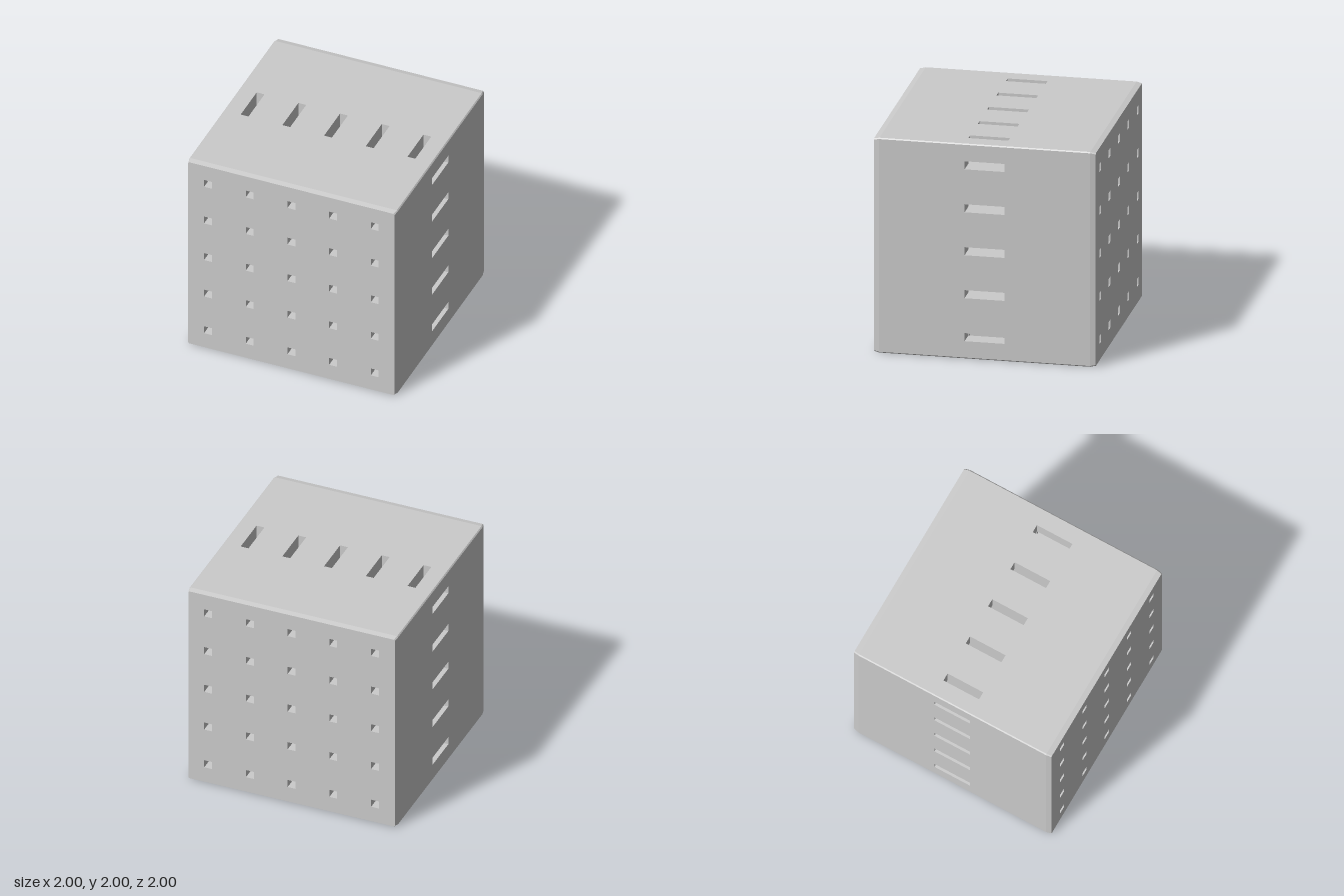
import * as THREE from 'three';

const ROWS = [-0.8, -0.4, 0, 0.4, 0.8]; // hole centres along each axis
const H = 0.0375;                       // half width of holes and slots
const SLOT = 0.18;                      // half length of the side slots
const BEVEL_Z = 0.95;                   // where the end faces start to taper
const C = 0.01;                         // small chamfer of the long edges

const toShape = (pts) => new THREE.Shape(pts.map(([x, y]) => new THREE.Vector2(x, y)));

function addHoles(shape, rows) {
  for (const x of rows) for (const y of rows) {
    shape.holes.push(new THREE.Path([
      [x - H, y - H], [x - H, y + H], [x + H, y + H], [x + H, y - H],
    ].map(([a, b]) => new THREE.Vector2(a, b))));
  }
  return shape;
}

// full square section with all 25 holes
function fullSection() {
  const e = 1 - C;
  return addHoles(toShape([
    [-e, -1], [e, -1], [1, -e], [1, e], [e, 1], [-e, 1], [-1, e], [-1, -e],
  ]), ROWS);
}

// middle section: slots run in from every side to the outermost holes
function slottedSections() {
  const inner = 0.8 - H, outer = 0.8 + H;
  const pts = [];
  for (let side = 0; side < 4; side++) {
    const c = [1, 0, -1, 0][side], s = [0, 1, 0, -1][side];
    const turn = (x, y) => pts.push([x * c - y * s, x * s + y * c]);
    for (let i = 0; i < 4; i++) {
      const a = ROWS[i] + H, b = ROWS[i + 1] - H;
      if (i > 0) turn(inner, a);
      turn(1, a);
      turn(1, b);
      turn(inner, b);
    }
  }
  const core = addHoles(toShape(pts), ROWS.slice(1, 4));
  const corners = [[1, 1], [-1, 1], [-1, -1], [1, -1]].map(([sx, sy]) => {
    const p = [[outer, outer], [1, outer], [1, 1 - C], [1 - C, 1], [outer, 1]]
      .map(([x, y]) => [x * sx, y * sy]);
    return toShape(p);
  });
  return [core, ...corners];
}

function extrude(shapes, z0, z1) {
  const g = new THREE.ExtrudeGeometry(shapes, { depth: z1 - z0, bevelEnabled: false });
  return g.translate(0, 0, z0);
}

// thin end slab whose outer edge narrows towards the face
function endSlab(sign) {
  const g = extrude(fullSection(), sign > 0 ? BEVEL_Z : -1, sign > 0 ? 1 : -BEVEL_Z);
  const p = g.attributes.position;
  for (let i = 0; i < p.count; i++) {
    const x = p.getX(i), y = p.getY(i);
    if (Math.max(Math.abs(x), Math.abs(y)) > 0.95 && Math.abs(p.getZ(i)) > 0.99) {
      p.setXY(i, x * 0.99, y * 0.99);
    }
  }
  g.computeVertexNormals();
  return g;
}

export function createModel() {
  const group = new THREE.Group();
  group.name = 'perforatedCube';
  const material = new THREE.MeshStandardMaterial({ color: 0xcccccc, flatShading: true });
  const add = (name, geometry) => {
    const mesh = new THREE.Mesh(geometry, material);
    mesh.name = name;
    mesh.position.y = 1;
    group.add(mesh);
  };

  add('slottedMiddle', extrude(slottedSections(), -SLOT, SLOT));
  add('frontBlock', extrude(fullSection(), SLOT, BEVEL_Z));
  add('backBlock', extrude(fullSection(), -BEVEL_Z, -SLOT));
  add('frontFace', endSlab(1));
  add('backFace', endSlab(-1));
  return group;
}
